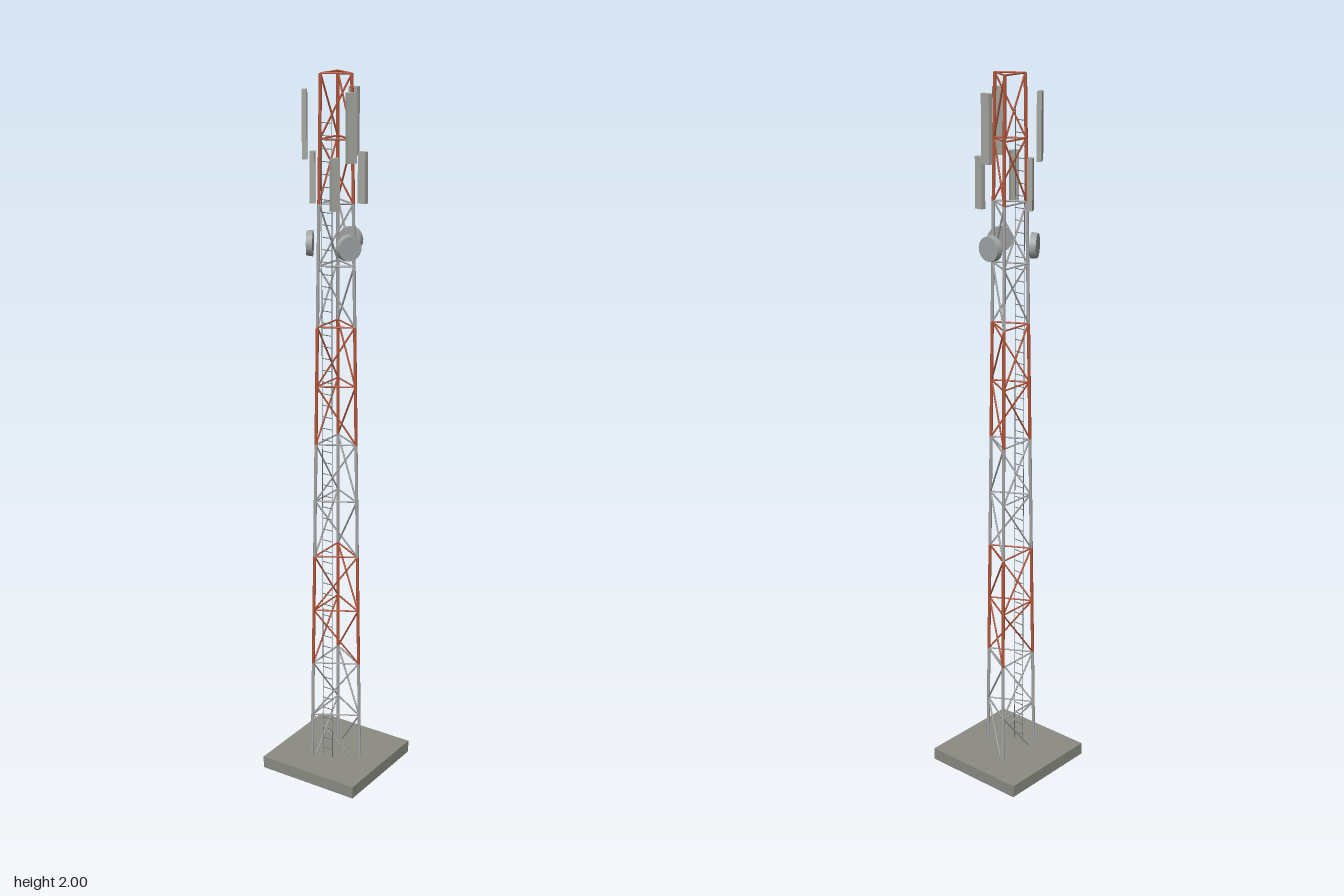
import * as THREE from 'three';

const mat = (color) => new THREE.MeshStandardMaterial({ color });
const red = mat(0xb5563a), grey = mat(0xa6a6a6), concrete = mat(0x8b8b83);
const panelGrey = mat(0xa6a6a0), dishGrey = mat(0xa0a3a3), steel = mat(0x777777);

const BAYS = 12, Y0 = 0.005, Y1 = 1.997, R0 = 0.081, R1 = 0.046;

function add(parent, name, geometry, material) {
  const mesh = new THREE.Mesh(geometry, material);
  mesh.name = name;
  parent.add(mesh);
  return mesh;
}

// Round bar between two points
function bar(parent, name, a, b, radius, material, sides = 6) {
  const dir = b.clone().sub(a);
  const mesh = add(parent, name, new THREE.CylinderGeometry(radius, radius, dir.length(), sides), material);
  mesh.position.copy(a).add(b).multiplyScalar(0.5);
  mesh.quaternion.setFromUnitVectors(new THREE.Vector3(0, 1, 0), dir.normalize());
}

// Point on a leg of the tapering triangular mast
function legPoint(leg, level) {
  const t = level / BAYS, r = R0 + (R1 - R0) * t, a = (leg % 3) * Math.PI * 2 / 3;
  return new THREE.Vector3(r * Math.cos(a), Y0 + (Y1 - Y0) * t, r * Math.sin(a));
}

function buildMast() {
  const mast = new THREE.Group();
  mast.name = 'latticeMast';
  for (let i = 0; i < BAYS; i++) {
    // Colour bands change every two bays; diagonals change direction every bay
    const paint = Math.floor(i / 2) % 2 ? red : grey;
    const flip = i % 2;
    for (let k = 0; k < 3; k++) {
      bar(mast, 'leg', legPoint(k, i), legPoint(k, i + 1), 0.0045, paint, 8);
      bar(mast, 'horizontalBrace', legPoint(k, i + 1), legPoint(k + 1, i + 1), 0.0025, paint);
      bar(mast, 'diagonalBrace', legPoint(k + flip, i), legPoint(k + 1 - flip, i + 1), 0.0025, paint);
    }
  }
  return mast;
}

function buildLadder() {
  const ladder = new THREE.Group();
  ladder.name = 'ladder';
  const z = 0.047, half = 0.016;
  for (const x of [-half, half]) {
    bar(ladder, 'ladderRail', new THREE.Vector3(x, 0.03, z), new THREE.Vector3(x, 1.9, z), 0.001, steel, 5);
  }
  for (let y = 0.06; y < 1.9; y += 0.033) {
    bar(ladder, 'rung', new THREE.Vector3(-half, y, z), new THREE.Vector3(half, y, z), 0.0012, steel, 5);
  }
  return ladder;
}

// One antenna sector, facing local +z
function buildSector() {
  const sector = new THREE.Group();
  sector.name = 'antennaSector';
  add(sector, 'tallPanelAntenna', new THREE.BoxGeometry(0.027, 0.178, 0.013), panelGrey)
    .position.set(0, 1.866, 0.083);
  add(sector, 'shortPanelAntenna', new THREE.BoxGeometry(0.023, 0.136, 0.014), panelGrey)
    .position.set(-0.039, 1.723, 0.066);
  // Drum dish, slightly narrower at the face
  const dish = add(sector, 'dish', new THREE.CylinderGeometry(0.033, 0.035, 0.017, 20), dishGrey);
  dish.rotation.x = Math.PI / 2;
  dish.position.set(0, 1.555, 0.071);
  return sector;
}

export function createModel() {
  const model = new THREE.Group();
  model.name = 'radioTower';
  add(model, 'foundationSlab', new THREE.BoxGeometry(0.31, 0.036, 0.31), concrete).position.y = 0.018;
  model.add(buildMast(), buildLadder());
  // Three sectors: rear, front left and front right
  for (let k = 0; k < 3; k++) {
    const sector = buildSector();
    sector.rotation.y = Math.PI + k * Math.PI * 2 / 3;
    model.add(sector);
  }
  return model;
}
